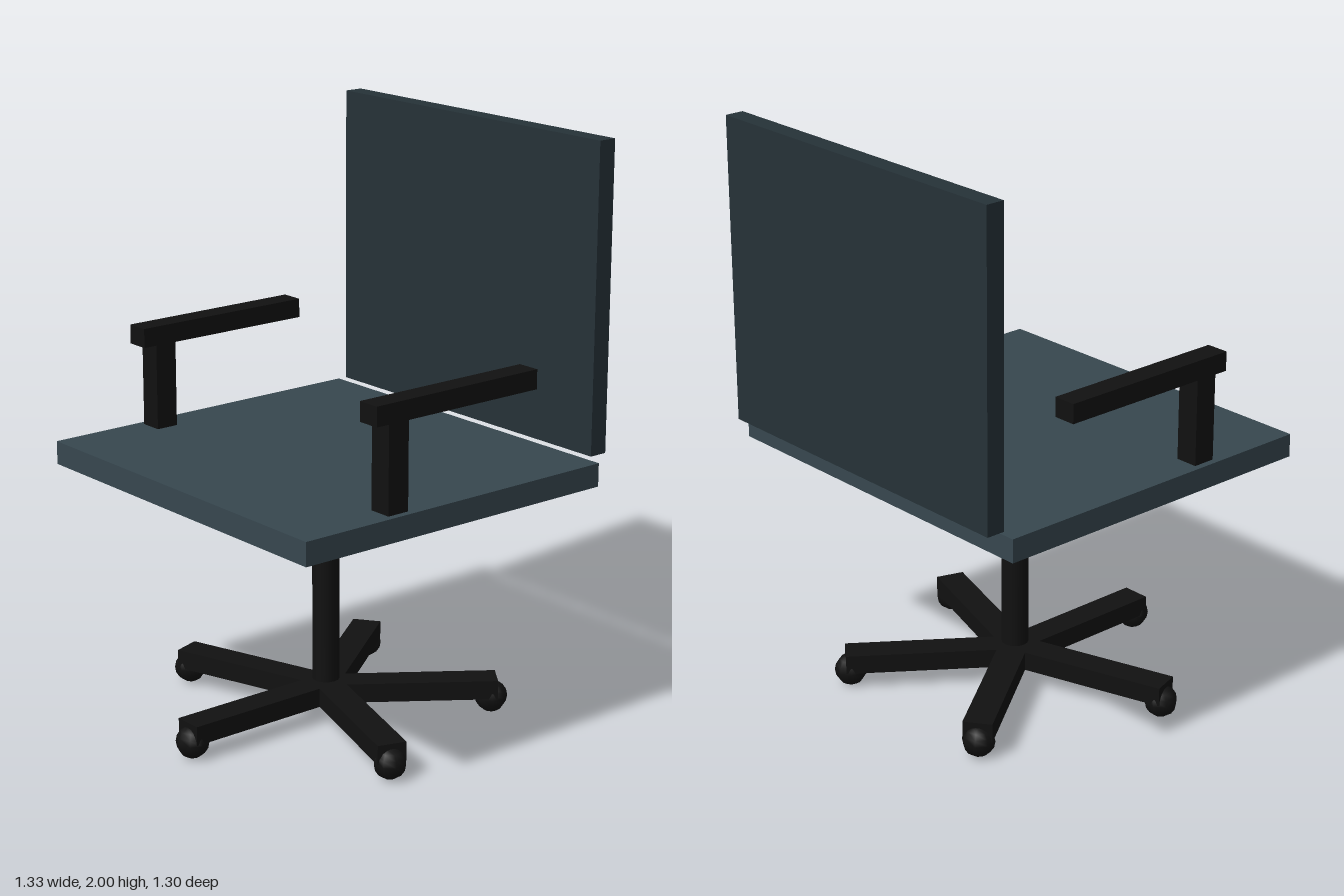
import * as THREE from 'three';

const AXIS_Z = 0.024; // depth of the swivel column

export function createModel() {
  const chair = new THREE.Group();
  chair.name = 'officeChair';

  const seatMat = new THREE.MeshStandardMaterial({ color: 0x37474f });
  const backMat = new THREE.MeshStandardMaterial({ color: 0x263238 });
  const frameMat = new THREE.MeshStandardMaterial({ color: 0x111111 });

  const add = (parent, name, geometry, material, x, y, z) => {
    const mesh = new THREE.Mesh(geometry, material);
    mesh.name = name;
    mesh.position.set(x, y, z);
    parent.add(mesh);
    return mesh;
  };
  const box = (w, h, d) => new THREE.BoxGeometry(w, h, d);

  // Seat and backrest slabs
  add(chair, 'seat', box(1.33, 0.08, 1.228), seatMat, 0, 0.902, 0.031);
  add(chair, 'backrest', box(1.254, 1.045, 0.066), backMat, 0, 1.4775, -0.617);

  // Armrests: a pad on a single front post
  for (const side of [-1, 1]) {
    const arm = new THREE.Group();
    arm.name = side > 0 ? 'leftArmrest' : 'rightArmrest';
    arm.position.x = side * 0.602;
    add(arm, 'armPost', box(0.08, 0.3, 0.08), frameMat, 0, 1.09, 0.262);
    add(arm, 'armPad', box(0.08, 0.066, 0.667), frameMat, 0, 1.269, 0.017);
    chair.add(arm);
  }

  // Swivel column
  add(chair, 'column', new THREE.CylinderGeometry(0.046, 0.046, 0.724, 16), frameMat, 0, 0.501, AXIS_Z);

  // Five-legged base with a caster under each tip
  const base = new THREE.Group();
  base.name = 'base';
  base.position.z = AXIS_Z;
  const legGeo = box(0.1, 0.066, 0.583);
  const casterGeo = new THREE.SphereGeometry(0.056, 8, 8);
  for (let i = 0; i < 5; i++) {
    const spoke = new THREE.Group();
    spoke.name = 'spoke';
    spoke.rotation.y = (i / 5) * Math.PI * 2;
    add(spoke, 'leg', legGeo, frameMat, 0, 0.098, 0.2915);
    add(spoke, 'caster', casterGeo, frameMat, 0, 0.06, 0.565);
    base.add(spoke);
  }
  chair.add(base);

  return chair;
}
